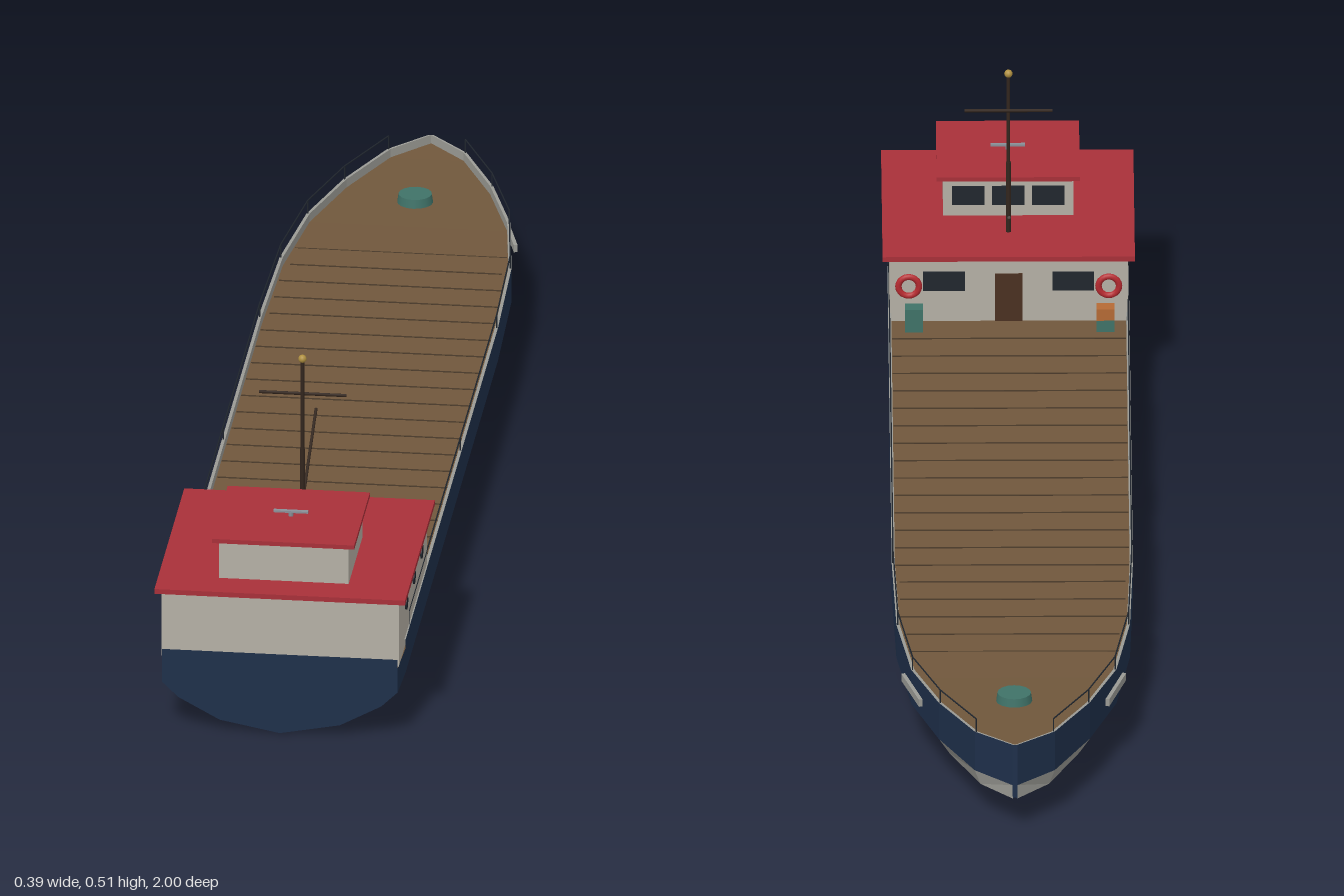
import * as THREE from 'three';

const mat = (color, extra = {}) => {
  const m = new THREE.MeshStandardMaterial(extra);
  m.color.set(color);
  return m;
};
const thin = { side: THREE.DoubleSide, flatShading: true };
const M = {
  navy: mat(0x1e2f4a, thin), red: mat(0x5e0a0d, thin), band: mat(0x9a9a94, thin),
  deck: mat(0x70573c, thin), seam: mat(0x4a3a2a), wall: mat(0xb5b0a5), roof: mat(0xa83039),
  dark: mat(0x20262e), wood: mat(0x4a3020), mast: mat(0x33261e), gold: mat(0xb09040),
  steel: mat(0x8a9098), teal: mat(0x3f7268), orange: mat(0xb56a35), buoy: mat(0xb52a30),
};

// Hull stations from stern to bow: z, half width, keel height, sheer height
const stations = [
  [1, 0.184, 0, 0.133], [0.92, 0.187, 0, 0.133], [0.86, 0.187, 0, 0.133], [0.18, 0.187, 0, 0.133],
  [-0.3, 0.187, 0, 0.133], [-0.53, 0.181, 0, 0.134], [-0.7, 0.159, 0.013, 0.136],
  [-0.83, 0.117, 0.031, 0.14], [-0.945, 0.062, 0.05, 0.144], [-1, 0.004, 0.057, 0.147],
];
// Half cross-section: fraction of half width, height
const keel = [0, 0], bilge = [0.51, 0.018], chine = [0.86, 0.053], knuckle = [1, 0.078];
const BULWARK = 0.014;
const below = ([f, y]) => ([z, w, k]) =>
  [f * w, y < 0.055 ? k + y * (0.055 - k) / 0.055 : y, z];
const edge = (drop, inset = 0) => ([z, w, , top]) => [Math.max(w - inset, 0), top - drop, z];

export function createModel() {
  const ship = new THREE.Group();
  const add = (name, geo, material, x = 0, y = 0, z = 0, parent = ship) => {
    const m = new THREE.Mesh(geo, material);
    m.name = name;
    m.position.set(x, y, z);
    parent.add(m);
    return m;
  };
  const box = (name, material, w, h, d, x, y, z) =>
    add(name, new THREE.BoxGeometry(w, h, d), material, x, y, z);
  const rod = (name, material, a, b, r) => {
    const A = new THREE.Vector3(...a), B = new THREE.Vector3(...b), dir = B.clone().sub(A);
    const m = add(name, new THREE.CylinderGeometry(r, r, dir.length(), 6), material);
    m.position.copy(A).add(B).multiplyScalar(0.5);
    m.quaternion.setFromUnitVectors(new THREE.Vector3(0, 1, 0), dir.normalize());
    return m;
  };

  // Skin between lines that run along the hull, mirrored to both sides
  const skin = (name, material, lines, list = stations) => {
    const pos = [];
    for (const s of [1, -1]) {
      const P = (j, i) => { const [x, y, z] = lines[j](list[i]); return [s * x, y, z]; };
      for (let j = 0; j < lines.length - 1; j++) for (let i = 0; i < list.length - 1; i++) {
        const a = P(j, i), b = P(j, i + 1), c = P(j + 1, i + 1), d = P(j + 1, i);
        pos.push(...(s > 0 ? [a, b, c, a, c, d] : [a, c, b, a, d, c]).flat());
      }
    }
    const g = new THREE.BufferGeometry();
    g.setAttribute('position', new THREE.Float32BufferAttribute(pos, 3));
    g.computeVertexNormals();
    add(name, g, material);
  };
  skin('lowerHull', M.red, [below(keel), below(bilge), below(chine)]);
  skin('waterlineBand', M.band, [below(chine), below(knuckle)]);
  skin('upperHull', M.navy, [below(knuckle), edge(BULWARK)]);
  const forward = stations.slice(1);
  skin('bulwarkOutside', M.navy, [edge(BULWARK), edge(0)], forward);
  skin('bulwarkInside', M.band, [edge(0), edge(0, 0.005), edge(BULWARK, 0.005)], forward);
  skin('deck', M.deck, [edge(BULWARK), ([z, , , top]) => [0, top - BULWARK, z]]);

  // Transom and stem plates closing the two ends
  const closing = (name, st, sheer) => {
    const half = [keel, bilge, chine, knuckle].map(p => below(p)(st));
    half.push([st[1], sheer, st[0]]);
    const pts = [...half, ...half.slice(1).reverse().map(([x, y, z]) => [-x, y, z])];
    const shape = new THREE.Shape(pts.map(p => new THREE.Vector2(p[0], p[1])));
    add(name, new THREE.ShapeGeometry(shape), M.navy, 0, 0, st[0]);
  };
  closing('transom', stations[0], 0.133);
  closing('stem', stations[stations.length - 1], 0.147);

  // Deck plank seams
  for (let z = -0.6; z < 0.6; z += 0.064) {
    const w = z < -0.5 ? 0.165 : z < -0.3 ? 0.175 : 0.181;
    box('deckSeam', M.seam, 2 * w, 0.001, 0.003, 0, z < -0.3 ? 0.1205 : 0.1195, z);
  }

  // Deckhouse and wheelhouse
  box('deckhouse', M.wall, 0.37, 0.108, 0.376, 0, 0.173, 0.806);
  box('deckhouseRoof', M.roof, 0.391, 0.008, 0.394, 0, 0.2295, 0.803);
  box('wheelhouse', M.wall, 0.202, 0.066, 0.186, 0, 0.266, 0.852);
  box('wheelhouseRoof', M.roof, 0.222, 0.007, 0.208, 0, 0.3, 0.852);
  for (const x of [-0.062, 0, 0.062])
    box('wheelhouseWindow', M.dark, 0.05, 0.032, 0.004, x, 0.268, 0.759);
  box('door', M.wood, 0.042, 0.08, 0.006, 0, 0.16, 0.618);

  for (const s of [-1, 1]) {
    box('deckhouseWindow', M.dark, 0.065, 0.032, 0.004, s * 0.1, 0.187, 0.618);
    add('lifebuoy', new THREE.TorusGeometry(0.016, 0.005, 8, 20), M.buoy, s * 0.155, 0.18, 0.614);
    for (const z of [0.7, 0.8, 0.9]) {
      const port = add('porthole', new THREE.CylinderGeometry(0.011, 0.011, 0.005, 16),
        M.dark, s * 0.185, 0.187, z);
      port.rotation.z = Math.PI / 2;
    }
    // Bow plate lying along the hull side
    const plate = box('bowPlate', M.band, 0.006, 0.012, 0.1, s * 0.158, 0.108, -0.714);
    plate.rotation.y = s * 0.27;

    // Railing: a post on each station and a rail between them
    const rail = stations.slice(2, -1).map(([z, w, , top]) => [s * (w - 0.002), top, z]);
    rail.forEach(([x, y, z], i) => {
      rod('railPost', M.dark, [x, y, z], [x, y + 0.022, z], 0.0012);
      if (i) {
        const [px, py, pz] = rail[i - 1];
        rod('rail', M.dark, [px, py + 0.022, pz], [x, y + 0.022, z], 0.0012);
      }
    });
  }

  // Mast, yard, boom and masthead lamp
  rod('mastFoot', M.mast, [0, 0.23, 0.7], [0, 0.352, 0.7], 0.0045);
  rod('mast', M.mast, [0, 0.35, 0.7], [0, 0.5, 0.7], 0.0032);
  rod('yard', M.mast, [-0.068, 0.442, 0.695], [0.068, 0.442, 0.695], 0.0025);
  rod('boom', M.mast, [0, 0.26, 0.7], [0, 0.341, 0.52], 0.0025);
  add('mastLamp', new THREE.SphereGeometry(0.0065, 12, 8), M.gold, 0, 0.503, 0.7);

  // Radar on the wheelhouse roof
  rod('radarStand', M.steel, [0, 0.303, 0.852], [0, 0.31, 0.852], 0.004);
  box('radarBar', M.steel, 0.054, 0.003, 0.007, 0, 0.311, 0.852);

  // Deck fittings
  add('foredeckHatch', new THREE.CylinderGeometry(0.026, 0.028, 0.014, 16), M.teal, 0, 0.132, -0.79);
  box('crate', M.teal, 0.028, 0.038, 0.024, 0.147, 0.138, 0.588);
  box('lowerCrate', M.teal, 0.028, 0.019, 0.024, -0.15, 0.1285, 0.588);
  box('upperCrate', M.orange, 0.028, 0.019, 0.024, -0.15, 0.1475, 0.588);
  return ship;
}
